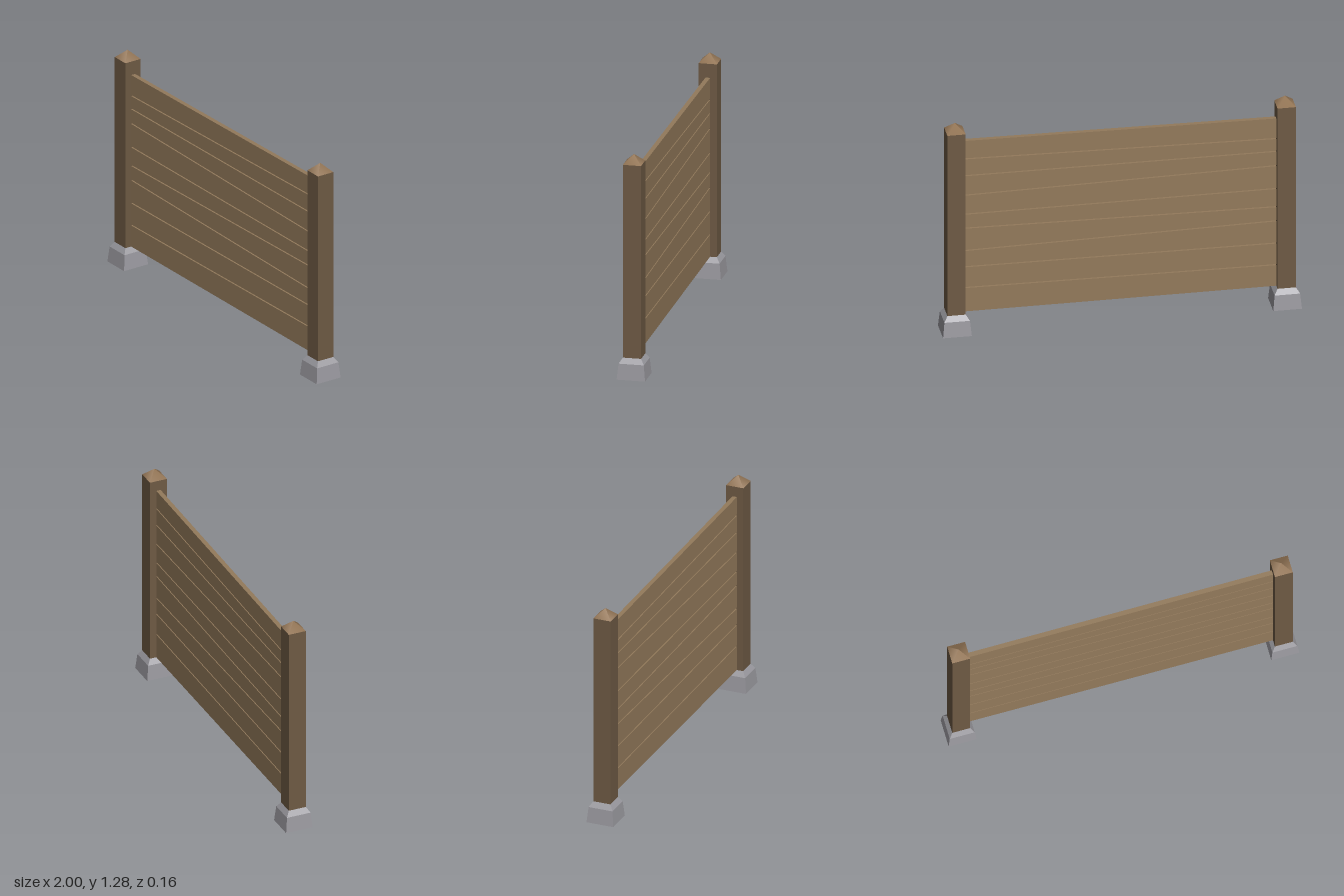
import * as THREE from 'three';

const mat = (color) => new THREE.MeshStandardMaterial({ color, flatShading: true });

// Four-sided tapered block from y0 to y1 with given half widths
function frustum(h0, h1, y0, y1) {
  const g = new THREE.CylinderGeometry(h1 * Math.SQRT2, h0 * Math.SQRT2, y1 - y0, 4);
  g.rotateY(Math.PI / 4);
  g.translate(0, (y0 + y1) / 2, 0);
  return g;
}

export function createModel() {
  const model = new THREE.Group();
  model.name = 'fencePanel';
  const stone = mat(0x9a999f);
  const postWood = mat(0x6e5a44);
  const boardWood = mat(0x937a5b);
  const capWood = new THREE.MeshStandardMaterial({ color: 0x937555 });

  const add = (parent, name, geometry, material) => {
    const mesh = new THREE.Mesh(geometry, material);
    mesh.name = name;
    parent.add(mesh);
  };

  // Posts with stone footing and pointed cap
  for (const side of [-1, 1]) {
    const post = new THREE.Group();
    post.name = side > 0 ? 'leftPost' : 'rightPost';
    post.position.x = side * 0.918;
    add(post, 'footing', frustum(0.08, 0.071, 0, 0.09), stone);
    add(post, 'footingShoulder', frustum(0.071, 0.051, 0.09, 0.12), stone);
    add(post, 'postShaft', frustum(0.051, 0.051, 0.12, 1.23), postWood);
    const cap = new THREE.ConeGeometry(0.051 * Math.SQRT2, 0.05, 4, 1, true);
    cap.rotateY(Math.PI / 4);
    cap.translate(0, 1.255, 0);
    add(post, 'postCap', cap, capWood);
    model.add(post);
  }

  // Uneven boards: seam heights at the -x end and the +x end
  const seams = [
    [0.12, 0.12], [0.25, 0.267], [0.383, 0.395], [0.52, 0.495], [0.607, 0.633],
    [0.719, 0.719], [0.86, 0.836], [0.948, 0.956], [1.027, 1.06], [1.15, 1.17],
  ];
  const gap = 0.007, half = 0.868, depth = 0.026;
  for (let i = 0; i < seams.length - 1; i++) {
    const [a, b] = [seams[i], seams[i + 1]];
    const lo = i === 0 ? 0 : gap / 2;
    const hi = i === seams.length - 2 ? 0 : gap / 2;
    const shape = new THREE.Shape([
      new THREE.Vector2(-half, a[0] + lo),
      new THREE.Vector2(half, a[1] + lo),
      new THREE.Vector2(half, b[1] - hi),
      new THREE.Vector2(-half, b[0] - hi),
    ]);
    const g = new THREE.ExtrudeGeometry(shape, { depth, bevelEnabled: false });
    g.translate(0, 0, -depth / 2);
    add(model, `board${i + 1}`, g, boardWood);
  }
  return model;
}
